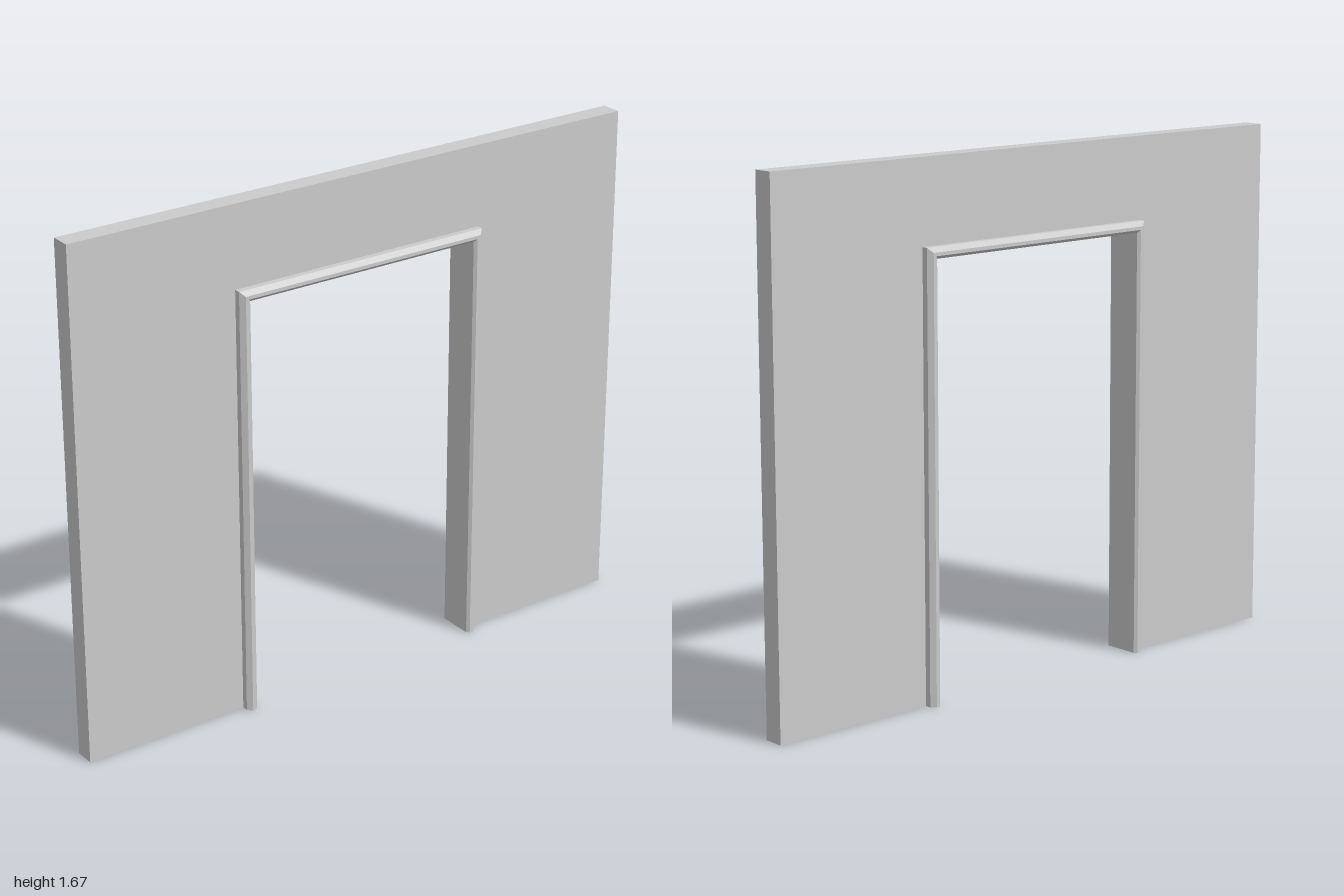
import * as THREE from 'three';

const HALF_WIDTH = 1, HEIGHT = 1.667, HALF_DEPTH = 0.033;
const OPEN_X = 0.412, OPEN_Y = 1.367, TRIM = 0.035;

// Sweeps a trim section [outward offset, z] up one jamb, across the head and down the other
function sweepAroundDoorway(section) {
  const at = (i, [off, z]) => [
    (i < 2 ? -1 : 1) * (OPEN_X + off),
    i === 0 || i === 3 ? 0 : OPEN_Y + off,
    z,
  ];
  const positions = [];
  for (let i = 0; i < 3; i++) {
    for (let j = 0; j < section.length - 1; j++) {
      const a = at(i, section[j]), b = at(i + 1, section[j]);
      const c = at(i, section[j + 1]), d = at(i + 1, section[j + 1]);
      positions.push(...a, ...c, ...b, ...b, ...c, ...d);
    }
  }
  const geometry = new THREE.BufferGeometry();
  geometry.setAttribute('position', new THREE.Float32BufferAttribute(positions, 3));
  geometry.computeVertexNormals();
  return geometry;
}

export function createModel() {
  const model = new THREE.Group();
  model.name = 'doorwayWall';
  const plaster = new THREE.MeshStandardMaterial({ color: 0xcccccc, side: THREE.DoubleSide });
  plaster.name = 'grey plaster';

  const add = (name, geometry) => {
    const mesh = new THREE.Mesh(geometry, plaster);
    mesh.name = name;
    model.add(mesh);
    return mesh;
  };

  // Wall faces, cut around the doorway trim
  const x = OPEN_X + TRIM, y = OPEN_Y + TRIM;
  const outline = new THREE.Shape([
    [-HALF_WIDTH, 0], [-x, 0], [-x, y], [x, y], [x, 0],
    [HALF_WIDTH, 0], [HALF_WIDTH, HEIGHT], [-HALF_WIDTH, HEIGHT],
  ].map(([px, py]) => new THREE.Vector2(px, py)));
  add('wallFront', new THREE.ShapeGeometry(outline).translate(0, 0, HALF_DEPTH));
  add('wallBack', new THREE.ShapeGeometry(outline).translate(0, 0, HALF_DEPTH).rotateY(Math.PI));

  // Wall top and ends; the underside stays open
  add('wallTop', new THREE.PlaneGeometry(2 * HALF_WIDTH, 2 * HALF_DEPTH)
    .rotateX(-Math.PI / 2).translate(0, HEIGHT, 0));
  for (const [name, side] of [['wallEndLeft', 1], ['wallEndRight', -1]]) {
    add(name, new THREE.PlaneGeometry(2 * HALF_DEPTH, HEIGHT)
      .rotateY(side * Math.PI / 2).translate(side * HALF_WIDTH, HEIGHT / 2, 0));
  }

  // Door frame: bevelled casing on both faces joined by the reveal
  const half = [[TRIM, HALF_DEPTH], [TRIM, 0.053], [0.02, 0.066], [0.009, 0.066], [0, 0.058]];
  const section = [...half, ...half.map(([off, z]) => [off, -z]).reverse()];
  add('doorFrame', sweepAroundDoorway(section));

  return model;
}
